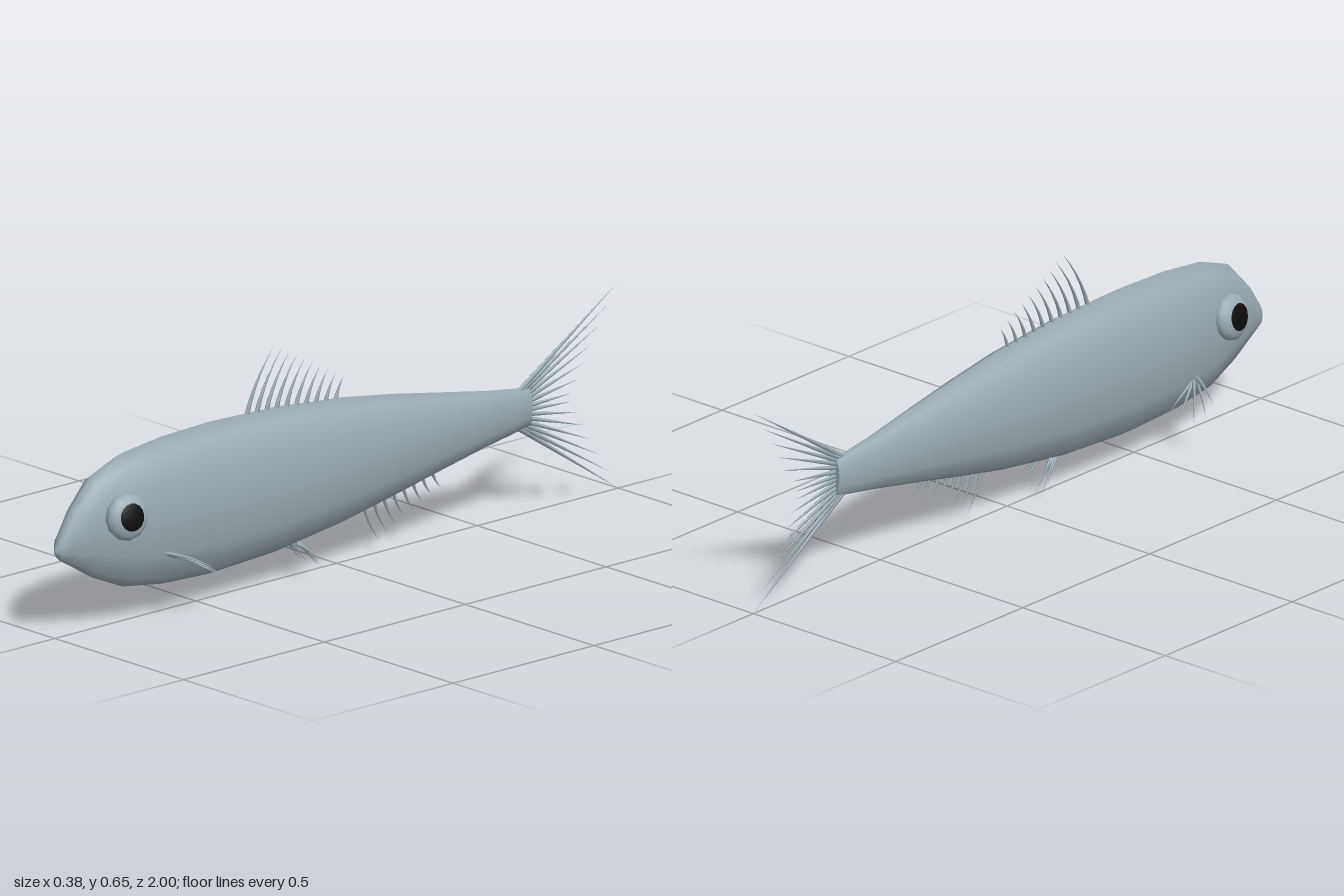
import * as THREE from 'three';

const skin = new THREE.MeshStandardMaterial({ color: 0x9aaab2 });
skin.name = 'silverGrey';
const black = new THREE.MeshStandardMaterial({ color: 0x0c0c0c });
black.name = 'pupilBlack';

const V = (x, y, z) => new THREE.Vector3(x, y, z);

function add(parent, name, geometry, material) {
  const mesh = new THREE.Mesh(geometry, material);
  mesh.name = name;
  parent.add(mesh);
  return mesh;
}

// Body stations from nose to tail: z, top, bottom, half width
const STATIONS = [
  [1.0, 0.243, 0.237, 0.004], [0.985, 0.282, 0.215, 0.02], [0.94, 0.35, 0.188, 0.034],
  [0.87, 0.424, 0.145, 0.052], [0.76, 0.464, 0.097, 0.073], [0.62, 0.48, 0.076, 0.083],
  [0.45, 0.485, 0.069, 0.088], [0.22, 0.478, 0.081, 0.086], [-0.02, 0.455, 0.113, 0.077],
  [-0.2, 0.427, 0.147, 0.062], [-0.36, 0.398, 0.18, 0.047], [-0.53, 0.367, 0.213, 0.03],
  [-0.68, 0.346, 0.238, 0.018],
];

// Linear lookup of a station column at a given z
function bodyAt(z, column) {
  let i = 0;
  while (i < STATIONS.length - 2 && STATIONS[i + 1][0] > z) i++;
  const a = STATIONS[i], b = STATIONS[i + 1];
  return THREE.MathUtils.lerp(a[column], b[column], (z - a[0]) / (b[0] - a[0]));
}

// Twelve-sided elliptical rings lofted along z
function bodyGeometry() {
  const sides = 12, pos = [], index = [];
  STATIONS.forEach(([z, top, bottom, w], r) => {
    for (let i = 0; i < sides; i++) {
      const a = (i / sides) * Math.PI * 2;
      pos.push(w * Math.sin(a), (top + bottom) / 2 + ((top - bottom) / 2) * Math.cos(a), z);
      if (r === STATIONS.length - 1) continue;
      const p = r * sides + i, q = r * sides + ((i + 1) % sides);
      index.push(p, q, p + sides, q, q + sides, p + sides);
    }
  });
  for (let i = 1; i < sides - 1; i++) index.push(0, i + 1, i);
  const g = new THREE.BufferGeometry();
  g.setAttribute('position', new THREE.Float32BufferAttribute(pos, 3));
  g.setIndex(index);
  g.computeVertexNormals();
  return g;
}

// Tapered fin ray: a slim cone bent along a curve from base through bend to tip
function rayGeometry(base, bend, tip, radius) {
  const curve = new THREE.QuadraticBezierCurve3(base, bend, tip);
  const g = new THREE.ConeGeometry(radius, 1, 5, 5);
  const p = g.attributes.position, v = V(0, 0, 0);
  for (let i = 0; i < p.count; i++) {
    v.fromBufferAttribute(p, i);
    const t = THREE.MathUtils.clamp(v.y + 0.5, 0, 1);
    const dir = curve.getTangent(t);
    const helper = Math.abs(dir.x) > 0.8 ? V(0, 1, 0) : V(1, 0, 0);
    const v1 = helper.clone().cross(dir).normalize();
    const u1 = dir.clone().cross(v1).normalize();
    const c = curve.getPoint(t).addScaledVector(u1, v.x).addScaledVector(v1, -v.z);
    // keep the ring handedness: (u, dir, w) is right-handed when w = u x dir
    const w1 = u1.clone().cross(dir);
    c.addScaledVector(v1, v.z).addScaledVector(w1, v.z);
    p.setXYZ(i, c.x, c.y, c.z);
  }
  g.computeVertexNormals();
  return g;
}

function fin(parent, name, rays, radius) {
  const group = new THREE.Group();
  group.name = name;
  rays.forEach(([base, bend, tip]) => add(group, name + 'Ray', rayGeometry(base, bend, tip, radius), skin));
  parent.add(group);
}

export function createModel() {
  const fish = new THREE.Group();
  fish.name = 'fish';
  add(fish, 'body', bodyGeometry(), skin);

  // Flat end of the tail stem
  const [ez, et, eb, ew] = STATIONS[STATIONS.length - 1];
  const end = add(fish, 'tailStemEnd', new THREE.CircleGeometry(1, 12), skin);
  end.scale.set(ew, (et - eb) / 2, 1);
  end.rotation.y = Math.PI;
  end.position.set(0, (et + eb) / 2, ez);

  // Dorsal fin
  const dorsal = [];
  for (let i = 0; i < 10; i++) {
    const t = i / 9, z = 0.32 - 0.315 * t;
    const y = bodyAt(z, 1) - 0.01;
    const h = 0.178 - 0.113 * t, back = 0.1 - 0.07 * t;
    dorsal.push([V(0, y, z), V(0, y + h * 0.5, z - back * 0.25), V(0, y + h, z - back)]);
  }
  fin(fish, 'dorsalFin', dorsal, 0.007);

  // Anal fin
  const anal = [];
  for (let i = 0; i < 8; i++) {
    const t = i / 7, z = -0.1 - 0.24 * t;
    const y = bodyAt(z, 2) + 0.01;
    const h = 0.105 - 0.055 * t, back = 0.055 - 0.025 * t;
    anal.push([V(0, y, z), V(0, y - h * 0.5, z - back * 0.2), V(0, y - h, z - back)]);
  }
  fin(fish, 'analFin', anal, 0.006);

  // Forked tail fan
  const tail = [];
  for (let i = 0; i < 14; i++) {
    const t = 1 - (2 * i) / 13, a = Math.abs(t);
    const base = V(0, 0.291 + 0.05 * t, -0.645);
    const tip = V(0, 0.287 + 0.283 * Math.sign(t) * a ** 1.25, -0.83 - 0.17 * a ** 1.3);
    tail.push([base, base.clone().lerp(tip, 0.5), tip]);
  }
  fin(fish, 'tailFin', tail, 0.008);

  for (const s of [1, -1]) {
    const side = s > 0 ? 'left' : 'right';

    // Pectoral fin
    const pectoralTips = [[0.19, 0.155, 0.6], [0.19, 0.13, 0.57], [0.168, 0.111, 0.545],
      [0.125, 0.108, 0.53], [0.084, 0.125, 0.545]];
    fin(fish, side + 'PectoralFin', pectoralTips.map(([x, y, z], i) => {
      const base = V(s * 0.07, 0.184 - 0.003 * i, 0.668 - 0.006 * i), tip = V(s * x, y, z);
      const bend = base.clone().lerp(tip, 0.5).add(V(s * 0.008, 0.014, 0));
      return [base, bend, tip];
    }), 0.006);

    // Pelvic fin
    const pelvicTips = [[0.047, 0.045, 0.105], [0.041, 0.022, 0.09], [0.021, 0.018, 0.085], [0.03, 0.045, 0.1]];
    fin(fish, side + 'PelvicFin', pelvicTips.map(([x, y, z], i) => {
      const base = V(s * (0.024 - 0.003 * i), 0.096, 0.165 - 0.004 * i), tip = V(s * x, y, z);
      const bend = base.clone().lerp(tip, 0.5).add(V(s * 0.005, 0.01, 0));
      return [base, bend, tip];
    }), 0.005);

    // Flattened eye, its pole turned outward, with a thin pupil cap
    const eye = new THREE.Group();
    eye.name = side + 'Eye';
    const ball = add(eye, 'eyeball', new THREE.SphereGeometry(0.064, 12, 10), skin);
    const pupil = add(eye, 'pupil', new THREE.SphereGeometry(0.066, 16, 4, 0, Math.PI * 2, 0, 0.6), black);
    for (const m of [ball, pupil]) {
      m.rotation.z = (-s * Math.PI) / 2;
      m.scale.y = 0.5;
    }
    eye.position.set(s * 0.068, 0.313, 0.807);
    eye.rotation.set(0, -s * 0.13, s * 0.17);
    fish.add(eye);
  }
  return fish;
}
